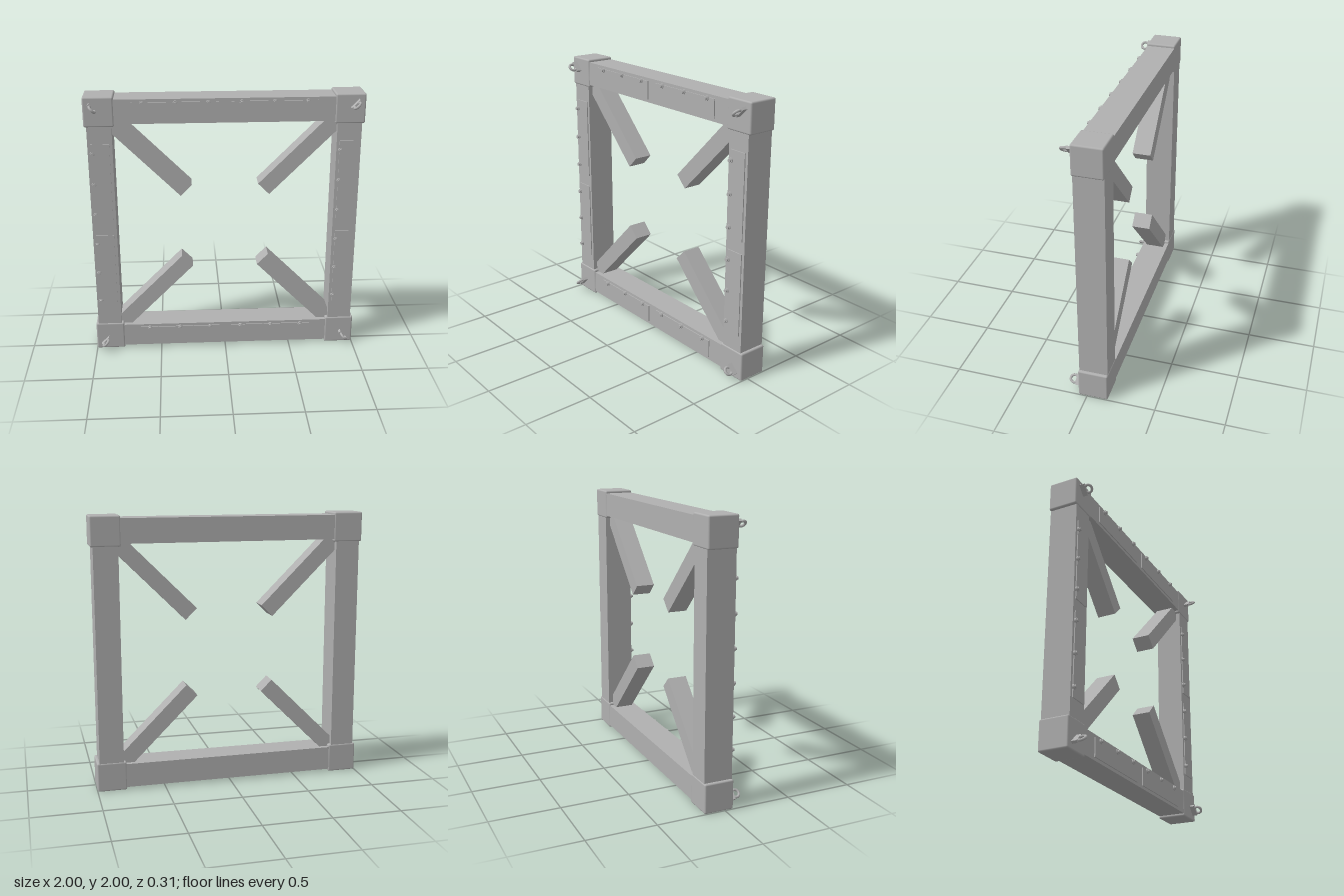
import * as THREE from 'three';
import { RoundedBoxGeometry } from 'three/addons/geometries/RoundedBoxGeometry.js';

export function createModel() {
  const model = new THREE.Group();
  model.name = 'squareFrame';
  const steel = new THREE.MeshStandardMaterial({ color: 0xb0b0b0 });
  steel.name = 'grey steel';

  const MID = 1;          // height of the frame centre
  const REACH = 0.892;    // centre of frame to centre line of beams
  const DEPTH = -0.046;   // z of the beam centre line
  const FRONT = 0.058;    // z of the beam front face

  const add = (parent, name, geometry, x, y, z) => {
    const mesh = new THREE.Mesh(geometry, steel);
    mesh.name = name;
    mesh.position.set(x, y, z);
    parent.add(mesh);
    return mesh;
  };

  // Shared geometries
  const blockGeo = new RoundedBoxGeometry(0.216, 0.216, 0.218, 2, 0.012);
  const beamGeo = new THREE.BoxGeometry(1.7, 0.177, 0.208);
  const plateGeo = new THREE.BoxGeometry(0.615, 0.134, 0.009);
  const braceGeo = new THREE.BoxGeometry(0.8, 0.117, 0.14);
  const washerGeo = new THREE.CylinderGeometry(0.018, 0.018, 0.014, 16).rotateX(Math.PI / 2);
  const boltGeo = new THREE.CylinderGeometry(0.012, 0.013, 0.026, 12).rotateX(Math.PI / 2);
  const lugGeo = new THREE.BoxGeometry(0.084, 0.02, 0.044);
  const ringGeo = new THREE.TorusGeometry(0.027, 0.0095, 10, 28).rotateX(Math.PI / 2);

  // Four beams, each with two cover plates and six bolts
  const addBeam = (name, x, y, upright) => {
    const side = new THREE.Group();
    side.name = name;
    side.position.set(x, y, 0);
    if (upright) side.rotation.z = Math.PI / 2;
    add(side, 'beam', beamGeo, 0, 0, DEPTH);
    for (const s of [-1, 1]) {
      const centre = s * 0.352;
      add(side, 'coverPlate', plateGeo, centre, 0, FRONT + 0.003);
      for (const step of [-1, 0, 1]) {
        const bx = centre + step * 0.234;
        add(side, 'boltWasher', washerGeo, bx, 0.059, FRONT + 0.009);
        add(side, 'bolt', boltGeo, bx, 0.059, FRONT + 0.014);
      }
    }
    model.add(side);
  };
  addBeam('topBeam', 0, MID + REACH, false);
  addBeam('bottomBeam', 0, MID - REACH, false);
  addBeam('leftBeam', REACH, MID, true);
  addBeam('rightBeam', -REACH, MID, true);

  // Corner blocks, diagonal braces and lifting eyes
  for (const sx of [-1, 1]) {
    for (const sy of [-1, 1]) {
      add(model, 'cornerBlock', blockGeo, sx * REACH, MID + sy * REACH, -0.045);

      const angle = sx * sy * Math.PI / 4;
      const mid = 0.285 + 0.4 * Math.SQRT1_2;
      const brace = add(model, 'diagonalBrace', braceGeo, sx * mid, MID + sy * mid, DEPTH);
      brace.rotation.z = angle;

      const eye = new THREE.Group();
      eye.name = 'liftingEye';
      eye.position.set(sx * 0.927, MID + sy * 0.927, 0);
      eye.rotation.z = angle;
      add(eye, 'eyeBase', lugGeo, 0, 0, 0.08);
      add(eye, 'eyeRing', ringGeo, 0, 0, 0.1175);
      model.add(eye);
    }
  }
  return model;
}
